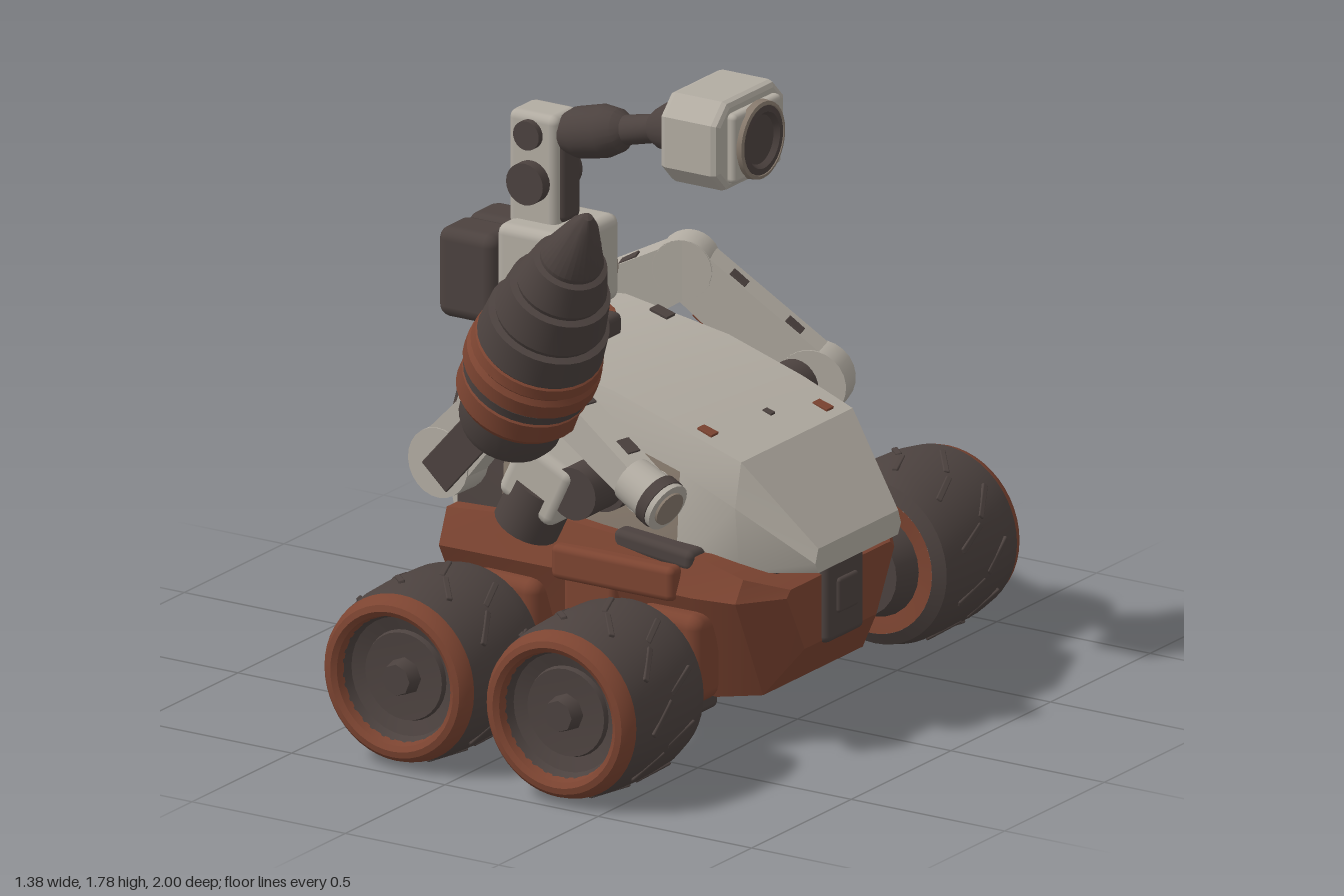
import * as THREE from 'three';
import { toCreasedNormals } from 'three/addons/utils/BufferGeometryUtils.js';
import { RoundedBoxGeometry } from 'three/addons/geometries/RoundedBoxGeometry.js';

const paint = (name, color) => {
  const m = new THREE.MeshStandardMaterial({ color });
  m.name = name;
  return m;
};
const grey = paint('worn pale grey', 0xb2aca2);
const dark = paint('dark metal', 0x4c423f);
const rust = paint('rust red', 0x7c4431);
const taupe = paint('dusty taupe', 0x877a6d);
const V = (x, y, z) => new THREE.Vector3(x, y, z);

export function createModel() {
  const model = new THREE.Group();
  model.name = 'drillRover';

  function add(parent, name, geo, mat, x = 0, y = 0, z = 0) {
    const m = new THREE.Mesh(geo, mat);
    m.name = name;
    m.position.set(x, y, z);
    parent.add(m);
    return m;
  }
  const box = (parent, name, mat, [w, h, d], [x, y, z], r = 0.02) =>
    add(parent, name, new RoundedBoxGeometry(w, h, d, 2, Math.min(r, w / 2.1, h / 2.1, d / 2.1)), mat, x, y, z);
  const lathe = (pts, n = 32) =>
    toCreasedNormals(new THREE.LatheGeometry(pts.map(p => new THREE.Vector2(...p)), n), 0.5);
  // Tapered rod between two points
  function rod(parent, name, mat, a, b, r1, r2 = r1, n = 24) {
    const m = add(parent, name, new THREE.CylinderGeometry(r2, r1, a.distanceTo(b), n), mat);
    m.position.copy(a).lerp(b, 0.5);
    m.quaternion.setFromUnitVectors(V(0, 1, 0), b.clone().sub(a).normalize());
    return m;
  }
  // Six-sided cross-sections [x, yLow, yMid, yTop, zLow, zMid, zTop] joined along x
  function loft(name, sections, mats, pick) {
    const rings = sections.map(([x, a, b, c, p, q, r]) =>
      [V(x, a, p), V(x, b, q), V(x, c, r), V(x, c, -r), V(x, b, -q), V(x, a, -p)]);
    const buckets = mats.map(() => []);
    const tri = (k, ...pts) => pts.forEach(p => buckets[k].push(p.x, p.y, p.z));
    const last = rings.length - 1;
    for (let i = 0; i < last; i++) for (let j = 0; j < 6; j++) {
      const k = (j + 1) % 6, m = pick(i, j);
      const A = rings[i][j], B = rings[i][k], C = rings[i + 1][k], D = rings[i + 1][j];
      tri(m, A, D, C);
      tri(m, A, C, B);
    }
    for (let j = 1; j < 5; j++) {
      tri(pick(0, 2), rings[0][0], rings[0][j], rings[0][j + 1]);
      tri(pick(last - 1, 2), rings[last][0], rings[last][j + 1], rings[last][j]);
    }
    const geo = new THREE.BufferGeometry();
    geo.setAttribute('position', new THREE.Float32BufferAttribute(buckets.flat(), 3));
    let start = 0;
    buckets.forEach((b, i) => { geo.addGroup(start, b.length / 3, i); start += b.length / 3; });
    geo.computeVertexNormals();
    return add(model, name, toCreasedNormals(geo, 0.35), mats);
  }

  // Upper shell: dark tail and rear side panels, taupe flanks, pale top and nose
  const flankColour = [0, 2, 1, 1, 0, 0];
  loft('shell', [
    [-0.48, 0.6, 0.72, 0.86, 0.26, 0.27, 0.2],
    [-0.41, 0.5, 0.86, 1.0, 0.32, 0.31, 0.26],
    [-0.25, 0.5, 0.88, 1.01, 0.345, 0.32, 0.28],
    [0.08, 0.5, 0.84, 0.95, 0.355, 0.325, 0.29],
    [0.32, 0.5, 0.77, 0.875, 0.345, 0.325, 0.29],
    [0.49, 0.5, 0.69, 0.815, 0.29, 0.31, 0.28],
    [0.69, 0.51, 0.54, 0.58, 0.2, 0.215, 0.2]
  ], [grey, taupe, dark], (i, j) => j === 0 || j === 4 ? flankColour[i] : i === 0 ? 2 : 0).position.z = -0.012;
  for (const [x, y, z, s, m] of [[-0.11, 0.992, -0.26, 0.06, dark], [-0.11, 0.992, 0.22, 0.05, rust],
    [0.35, 0.867, 0.22, 0.05, rust], [0.38, 0.855, -0.04, 0.03, dark], [0.44, 0.834, -0.22, 0.05, rust]]) {
    box(model, 'shellChip', m, [s, 0.009, s * 0.7], [x, y, z], 0.002).rotation.z = -0.28;
  }

  // Lower hull with chamfered corners, and its fittings
  loft('lowerHull', [
    [-0.475, 0.3, 0.44, 0.49, 0.19, 0.28, 0.25],
    [-0.41, 0.17, 0.45, 0.55, 0.25, 0.4, 0.36],
    [0.0, 0.12, 0.46, 0.59, 0.28, 0.42, 0.38],
    [0.42, 0.13, 0.45, 0.55, 0.28, 0.41, 0.36],
    [0.55, 0.15, 0.45, 0.51, 0.25, 0.39, 0.35],
    [0.64, 0.28, 0.45, 0.47, 0.18, 0.27, 0.25]
  ], [rust], () => 0);
  box(model, 'frontVent', dark, [0.14, 0.26, 0.19], [0.59, 0.4, 0]);
  box(model, 'frontVentPlate', dark, [0.03, 0.1, 0.1], [0.655, 0.4, 0], 0.01);
  box(model, 'rearVent', dark, [0.1, 0.22, 0.19], [-0.44, 0.4, 0]);
  box(model, 'bellyKeel', dark, [0.6, 0.04, 0.08], [0.09, 0.12, 0]);
  for (const s of [1, -1]) {
    box(model, 'sideSkirt', rust, [0.4, 0.1, 0.06], [0.17, 0.48, s * 0.4]);
    box(model, 'middlePod', rust, [0.17, 0.4, 0.12], [0.09, 0.28, s * 0.36]);
    box(model, 'deckPlate', dark, [0.26, 0.06, 0.1], [0.27, 0.55, s * 0.33]).rotation.z = -0.1;
    box(model, 'noseBracket', dark, [0.16, 0.08, 0.07], [0.5, 0.5, s * 0.2]);
    box(model, 'bellyRail', dark, [0.6, 0.1, 0.1], [0.09, 0.13, s * 0.27]);
    box(model, 'bellyBar', rust, [0.62, 0.06, 0.09], [0.09, 0.125, s * 0.1]);
  }

  // Wheels, hubs and axles
  const tread = lathe([[0.2, -0.2], [0.235, -0.18], [0.25, -0.12], [0.254, 0], [0.25, 0.1], [0.24, 0.165]], 48);
  const outerWall = lathe([[0.24, 0.165], [0.232, 0.19], [0.218, 0.206], [0.2, 0.21], [0.185, 0.2], [0.178, 0.175]], 48);
  const innerWall = lathe([[0.2, 0.2], [0.16, 0.195], [0.1, 0.185]], 40);
  const rim = lathe([[0.18, 0.18], [0.17, 0.15], [0.13, 0.135], [0.125, 0.15], [0.07, 0.145], [0, 0.145]], 32);
  const ribGeo = new RoundedBoxGeometry(0.018, 0.012, 0.12, 1, 0.004);
  for (const side of [1, -1]) for (const [name, x, z] of [['rearWheel', -0.187, 0.77], ['frontWheel', 0.355, 0.79]]) {
    const wheel = new THREE.Group();
    wheel.name = name;
    wheel.position.set(x, 0.258, side * z);
    if (side < 0) wheel.rotation.y = Math.PI;
    model.add(wheel);
    const parts = [['tread', tread, dark], ['sidewall', outerWall, rust], ['rim', rim, dark]];
    for (const [n, g, m] of parts) add(wheel, n, g, m).rotation.x = Math.PI / 2;
    add(wheel, 'innerWall', innerWall, rust).rotation.x = -Math.PI / 2;
    rod(wheel, 'hubNut', dark, V(0, 0, 0.14), V(0, 0, 0.19), 0.055, 0.045, 8);
    rod(wheel, 'innerHub', dark, V(0, 0, -0.27), V(0, 0, -0.17), 0.13, 0.16);
    rod(wheel, 'axle', dark, V(0, 0, -0.42), V(0, 0, -0.25), 0.07);
    box(wheel, 'axleMount', rust, [0.22, 0.26, 0.13], [0, 0.02, -0.41], 0.04);
    for (let i = 0; i < 20; i++) {
      const pivot = new THREE.Group();
      pivot.name = 'treadRib';
      pivot.rotation.z = i / 20 * Math.PI * 2;
      wheel.add(pivot);
      add(pivot, 'rib', ribGeo, dark, 0, 0.25, i % 2 ? 0.05 : -0.06).rotation.y = i % 2 ? 0.7 : 0.4;
    }
  }

  // Arm limb with round ends, worn patches and a pivot cap on the chosen side (+1, -1, or 0 for none) of each end
  function limb(name, a, b, rA, rB, thick, capA, capB) {
    const g = new THREE.Group(), len = a.distanceTo(b);
    g.name = name;
    g.position.copy(a);
    g.lookAt(b);
    model.add(g);
    const bar = new THREE.BoxGeometry(thick * 0.9, 2, len);
    const p = bar.attributes.position;
    for (let i = 0; i < p.count; i++) p.setY(i, p.getY(i) * (p.getZ(i) > 0 ? rB : rA) * 0.9);
    bar.computeVertexNormals();
    add(g, 'limbBar', bar, grey, 0, 0, len / 2);
    for (const [z, r, cap] of [[0, rA, capA], [len, rB, capB]]) {
      rod(g, 'limbEnd', grey, V(-thick / 2, 0, z), V(thick / 2, 0, z), r);
      if (cap) rod(g, 'pivotCap', dark, V(0, 0, z), V(cap * (thick / 2 + 0.012), 0, z), r * 0.7);
    }
    for (const t of [0.3, 0.72]) {
      const y = (rA + (rB - rA) * t) * 0.9;
      box(g, 'wornPatch', dark, [thick * 0.45, 0.009, 0.055], [thick * 0.15, y, len * t], 0.002);
    }
    return g;
  }
  // Free arm
  const upperArm = limb('freeUpperArm', V(0.15, 0.74, -0.63), V(-0.2, 1.04, -0.52), 0.1, 0.085, 0.1, -1, 0);
  box(upperArm, 'armUnderside', rust, [0.08, 0.009, 0.26], [0, -0.086, 0.24], 0.003).rotation.x = -0.03;
  limb('freeForearm', V(-0.2, 1.04, -0.52), V(-0.565, 0.83, -0.385), 0.085, 0.115, 0.1, 0, 1);
  // Drill arm
  const rearArm = limb('drillRearArm', V(-0.34, 0.73, 0.46), V(-0.1, 1.0, 0.47), 0.1, 0.08, 0.1, 0, 0);
  box(rearArm, 'armPanel', dark, [0.009, 0.11, 0.28], [-0.05, -0.02, 0.1], 0.004);
  limb('drillFrontArm', V(-0.02, 1.02, 0.48), V(0.39, 0.8, 0.58), 0.065, 0.05, 0.1, 0, 0);
  rod(model, 'elbowSleeve', grey, V(0.34, 0.83, 0.585), V(0.47, 0.775, 0.605), 0.065, 0.072);
  rod(model, 'elbowBand', dark, V(0.425, 0.794, 0.598), V(0.455, 0.781, 0.603), 0.075);
  rod(model, 'elbowCap', taupe, V(0.46, 0.779, 0.603), V(0.478, 0.772, 0.606), 0.05);
  // Shoulders
  for (const s of [1, -1]) {
    rod(model, 'shoulderAxle', dark, V(0.13, 0.74, s * 0.3), V(0.13, 0.74, s * 0.56), 0.075);
    rod(model, 'shoulderCollar', dark, V(0.13, 0.74, s * 0.32), V(0.13, 0.74, s * 0.42), 0.09);
  }
  box(model, 'shoulderBlock', grey, [0.2, 0.19, 0.16], [0.01, 0.75, 0.49], 0.03).rotation.z = -0.45;
  rod(model, 'shoulderPiston', dark, V(-0.065, 0.6, 0.49), V(0, 0.73, 0.49), 0.095);

  // Drill: stepped lathe bands along one tilted axis
  const drill = new THREE.Group();
  drill.name = 'drill';
  drill.position.set(-0.09, 0.89, 0.55);
  drill.quaternion.setFromUnitVectors(V(0, 1, 0), V(0.4, 0.74, 0.21).normalize());
  model.add(drill);
  const bands = [
    ['drillBase', dark, [[0, 0], [0.13, 0], [0.145, 0.03], [0.148, 0.12], [0.12, 0.13]]],
    ['lowerBand', rust, [[0.12, 0.11], [0.165, 0.115], [0.182, 0.14], [0.18, 0.2], [0.165, 0.21]]],
    ['middleBand', dark, [[0.165, 0.2], [0.18, 0.21], [0.183, 0.24], [0.17, 0.25]]],
    ['upperBand', rust, [[0.17, 0.235], [0.192, 0.25], [0.192, 0.295], [0.18, 0.31], [0.188, 0.32], [0.182, 0.35], [0.165, 0.36]]],
    ['drillBit', dark, [[0.165, 0.34], [0.18, 0.36], [0.172, 0.45], [0.152, 0.455], [0.158, 0.47], [0.143, 0.57],
      [0.123, 0.575], [0.128, 0.59], [0.105, 0.68], [0.088, 0.685], [0.09, 0.7], [0.04, 0.83], [0.015, 0.865], [0, 0.87]]]
  ];
  for (const [n, m, pts] of bands) add(drill, n, lathe(pts), m);
  box(drill, 'drillClamp', dark, [0.08, 0.1, 0.06], [0, 0.24, -0.18]);

  // Mast
  const mast = new THREE.Group();
  mast.name = 'mast';
  mast.position.z = -0.014;
  model.add(mast);
  rod(mast, 'mastRing', rust, V(-0.28, 0.96, 0), V(-0.28, 1.03, 0), 0.17, 0.15);
  rod(mast, 'mastNeck', dark, V(-0.28, 0.98, 0), V(-0.28, 1.07, 0), 0.13, 0.1);
  box(mast, 'neckBlock', dark, [0.09, 0.07, 0.12], [-0.16, 1.01, 0]);
  box(mast, 'mastBox', grey, [0.24, 0.25, 0.27], [-0.29, 1.175, 0], 0.03);
  box(mast, 'mastBoxSlot', dark, [0.009, 0.17, 0.05], [-0.168, 1.16, 0], 0.002);
  rod(mast, 'sideKnob', dark, V(-0.28, 1.13, -0.18), V(-0.28, 1.13, 0.18), 0.062);
  rod(mast, 'sideKnobRing', taupe, V(-0.28, 1.13, -0.165), V(-0.28, 1.13, 0.165), 0.08);
  for (const s of [1, -1]) box(mast, 'rearPack', dark, [0.19, 0.26, 0.15], [-0.5, 1.13, s * 0.073], 0.035);
  box(mast, 'mastColumn', grey, [0.16, 0.34, 0.13], [-0.335, 1.44, 0], 0.025);
  box(mast, 'columnFront', dark, [0.05, 0.24, 0.09], [-0.265, 1.42, 0]);
  rod(mast, 'lowerHinge', dark, V(-0.335, 1.415, -0.1), V(-0.335, 1.415, 0.1), 0.06);
  rod(mast, 'upperHinge', dark, V(-0.34, 1.55, -0.085), V(-0.34, 1.55, 0.085), 0.042);

  // Neck tube, thick at both ends
  const neck = add(mast, 'neckTube', lathe([[0, 0], [0.055, 0], [0.072, 0.04], [0.075, 0.13], [0.06, 0.18], [0.042, 0.2],
    [0.04, 0.29], [0.055, 0.31], [0.085, 0.38], [0.09, 0.43], [0, 0.43]], 20), dark, -0.26, 1.55, 0);
  neck.quaternion.setFromUnitVectors(V(0, 1, 0), V(0.42, 0.095, 0).normalize());

  // Camera head: block with chamfered corners and a lens
  const face = new THREE.Shape();
  [[-0.155, -0.065], [-0.11, -0.11], [0.11, -0.11], [0.155, -0.065], [0.155, 0.065], [0.11, 0.11], [-0.11, 0.11], [-0.155, 0.065]]
    .forEach(([x, y], i) => i ? face.lineTo(x, y) : face.moveTo(x, y));
  const head = new THREE.ExtrudeGeometry(face, { depth: 0.15, bevelThickness: 0.02, bevelSize: 0.018, bevelSegments: 2 });
  add(mast, 'cameraHead', head, grey, 0.17, 1.65, 0).rotation.y = Math.PI / 2;
  box(mast, 'headFrontPlate', grey, [0.04, 0.2, 0.24], [0.345, 1.645, 0], 0.015);
  const ring = lathe([[0.112, 0], [0.11, 0.022], [0.1, 0.025], [0.092, 0.01]], 32);
  add(mast, 'lensRing', ring, taupe, 0.357, 1.645, 0).rotation.z = -Math.PI / 2;
  const barrel = lathe([[0.098, 0], [0.098, 0.022], [0.08, 0.024], [0.07, 0.009], [0, 0.009]], 32);
  add(mast, 'lensBarrel', barrel, dark, 0.358, 1.645, 0).rotation.z = -Math.PI / 2;

  return model;
}
